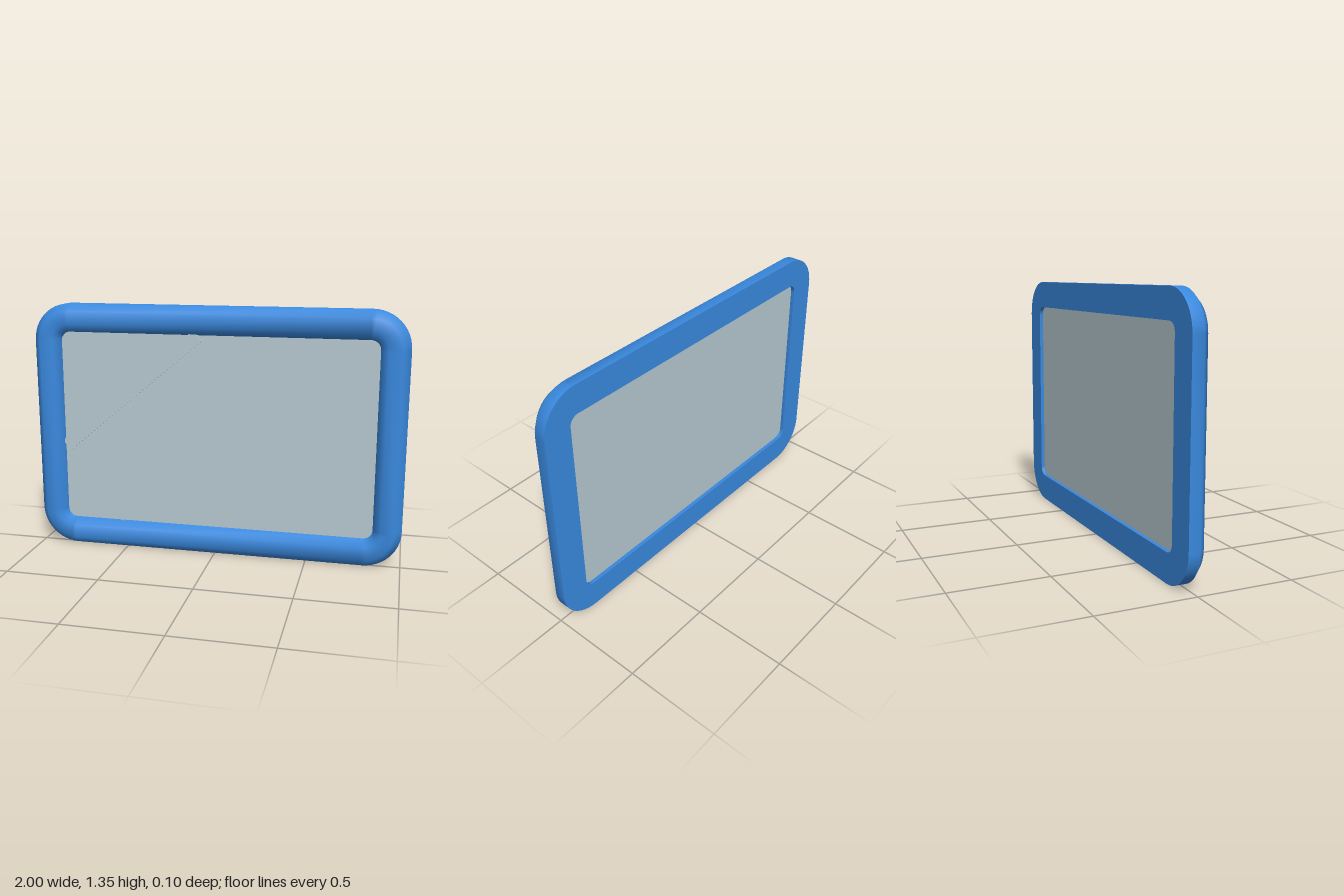
import * as THREE from 'three';

const CORNER_STEPS = 12, CENTRE_Y = 0.675;

// Rounded rectangle outline, inset by d from the outer edge of the frame
function outline(d) {
  const pts = [], r = 0.2 - d;
  const corners = [[1, 1], [-1, 1], [-1, -1], [1, -1]];
  corners.forEach(([sx, sy], q) => {
    for (let i = 0; i <= CORNER_STEPS; i++) {
      const a = (q + i / CORNER_STEPS) * Math.PI / 2;
      pts.push(new THREE.Vector2(sx * 0.8 + r * Math.cos(a), sy * 0.475 + r * Math.sin(a)));
    }
  });
  return pts;
}

// Sweep a profile of [inset, z] points around the outline, smooth within the profile
function sweep(profile) {
  const pos = [], idx = [], n = 4 * (CORNER_STEPS + 1);
  profile.forEach(([d, z], j) => {
    outline(d).forEach((p) => pos.push(p.x, p.y, z));
    if (j === profile.length - 1) return;
    for (let i = 0; i < n; i++) {
      const a = j * n + i, b = j * n + (i + 1) % n;
      idx.push(a, b, b + n, a, b + n, a + n);
    }
  });
  const g = new THREE.BufferGeometry();
  g.setAttribute('position', new THREE.Float32BufferAttribute(pos, 3));
  g.setIndex(idx);
  g.computeVertexNormals();
  return g;
}

export function createModel() {
  const group = new THREE.Group();
  group.name = 'windowPane';
  const blue = new THREE.MeshStandardMaterial({ color: 0x3a8ae0 });
  blue.name = 'frame blue';
  const grey = new THREE.MeshStandardMaterial({ color: 0xb8cad2 });
  grey.name = 'glass grey';

  const add = (name, geometry, material, x, y, z) => {
    const m = new THREE.Mesh(geometry, material);
    m.name = name;
    m.position.set(x, y, z);
    group.add(m);
    return m;
  };

  // Frame: softly shaded chamfered front and a flat back
  const front = [[0, -0.05], [0, 0.01], [0.04, 0.05], [0.11, 0.05], [0.15, 0.01], [0.15, -0.05]];
  add('frame', sweep(front), blue, 0, CENTRE_Y, 0);
  add('frameBack', sweep([[0.15, -0.05], [0, -0.05]]), blue, 0, CENTRE_Y, 0);

  // Glass slab set into the opening
  const glass = new THREE.ExtrudeGeometry(new THREE.Shape(outline(0.148)), { depth: 0.035, bevelEnabled: false });
  add('glass', glass, grey, 0, CENTRE_Y, -0.03);

  // Diagonal glints lying on the glass
  const glint = (name, length, width, x, y) => {
    const m = add(name, new THREE.BoxGeometry(length, width, 0.0095), grey, x, y, 0.00975);
    m.rotation.z = THREE.MathUtils.degToRad(40);
  };
  glint('wideGlint', 0.98, 0.07, -0.467, 0.882);
  glint('narrowGlint', 1.6, 0.025, 0.08, 0.67);

  return group;
}
